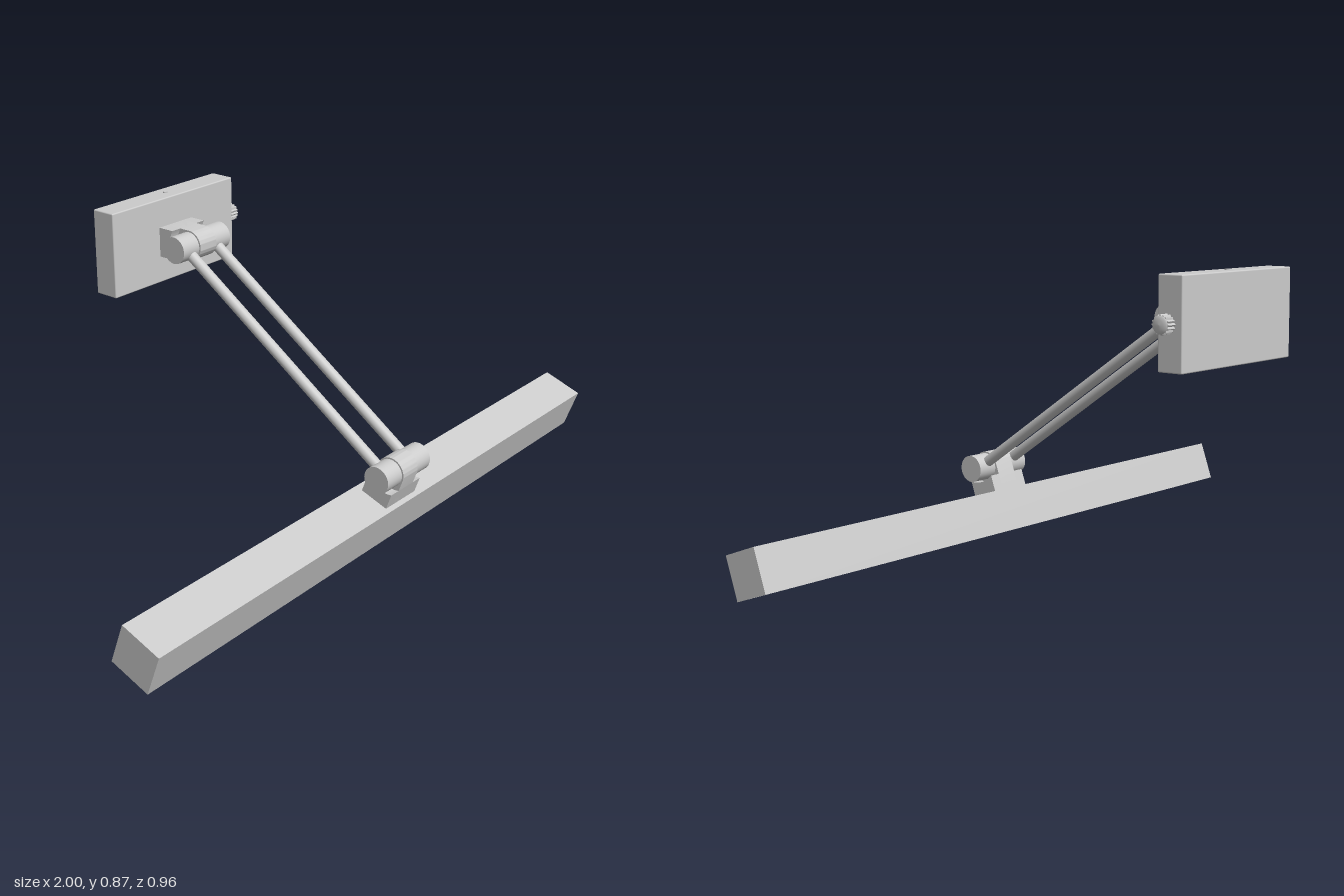
import * as THREE from 'three';
import { toCreasedNormals } from 'three/addons/utils/BufferGeometryUtils.js';
import { RoundedBoxGeometry } from 'three/addons/geometries/RoundedBoxGeometry.js';

const material = new THREE.MeshStandardMaterial({ color: 0xcccccc });

function add(parent, name, geometry, x = 0, y = 0, z = 0) {
  const mesh = new THREE.Mesh(geometry, material);
  mesh.name = name;
  mesh.position.set(x, y, z);
  parent.add(mesh);
  return mesh;
}

// Extrudes a (z, y) outline along x, centred on x = 0
function extrudeX(shape, width) {
  const g = new THREE.ExtrudeGeometry(shape, { depth: width, bevelEnabled: false, curveSegments: 24 });
  g.translate(0, 0, -width / 2).rotateY(-Math.PI / 2);
  return toCreasedNormals(g, 0.5);
}

function polygon(points) {
  return new THREE.Shape(points.map(([z, y]) => new THREE.Vector2(z, y)));
}

// Hinge with its pivot at the origin and its mounting foot towards -y
function createHinge(name) {
  const hinge = new THREE.Group();
  hinge.name = name;
  const r = 0.045, foot = -0.088;

  // Narrow tongue with a rounded end
  const tongue = polygon([[-r, foot], [r, foot], [r, 0]]);
  tongue.absarc(0, 0, r, 0, Math.PI, false);
  tongue.closePath();
  add(hinge, 'hingeTongue', extrudeX(tongue, 0.07), 0, 0, 0);

  // Wide foot, hollowed where the barrels turn
  const base = polygon([[-r, foot], [r, foot], [r, -0.036]]);
  base.quadraticCurveTo(0, -0.058, -r, -0.036);
  base.closePath();
  add(hinge, 'hingeFoot', extrudeX(base, 0.139));

  // Barrels either side of the tongue
  for (const s of [-1, 1]) {
    const barrel = new THREE.CylinderGeometry(0.041, 0.041, 0.066, 40).rotateZ(Math.PI / 2);
    add(hinge, 'hingeBarrel', barrel, s * 0.069);
  }
  return hinge;
}

// Square trough, open below, with thin end caps
function createShade() {
  const shade = new THREE.Group();
  shade.name = 'shade';
  const h = 0.064, t = 0.007, length = 2, cap = 0.008;
  const channel = polygon([[-h, -h], [-h + t, -h], [-h + t, h - t], [h - t, h - t],
    [h - t, -h], [h, -h], [h, h], [-h, h]]);
  add(shade, 'shadeChannel', extrudeX(channel, length - 2 * cap));
  for (const s of [-1, 1]) {
    add(shade, 'shadeEndCap', new THREE.BoxGeometry(cap, 2 * h, 2 * h), s * (length - cap) / 2);
  }
  return shade;
}

// Fluted switch knob on a short stem, pointing along +x
function createKnob() {
  const knob = new THREE.Group();
  knob.name = 'switchKnob';
  add(knob, 'knobStem', new THREE.CylinderGeometry(0.013, 0.013, 0.02, 24).rotateZ(-Math.PI / 2), 0.006);
  const outline = new THREE.Shape();
  const steps = 96;
  for (let i = 0; i < steps; i++) {
    const a = (i / steps) * Math.PI * 2;
    const r = 0.0255 + 0.002 * Math.cos(a * 16);
    if (i) outline.lineTo(r * Math.cos(a), r * Math.sin(a));
    else outline.moveTo(r, 0);
  }
  add(knob, 'knobGrip', extrudeX(outline, 0.03), 0.028);
  const dome = [[0.0245, 0], [0.021, 0.003], [0.012, 0.005], [0, 0.006]].map(([r, y]) => new THREE.Vector2(r, y));
  add(knob, 'knobDome', new THREE.LatheGeometry(dome, 32).rotateZ(-Math.PI / 2), 0.043);
  return knob;
}

export function createModel() {
  const lamp = new THREE.Group();
  lamp.name = 'wallLamp';
  const top = { y: 0.737, z: -0.315 };
  const low = { y: 0.226, z: 0.437 };
  const tilt = THREE.MathUtils.degToRad(19.5);

  // Wall plate with a small screw above and below
  add(lamp, 'wallPlate', new RoundedBoxGeometry(0.517, 0.258, 0.079, 2, 0.004), -0.001, 0.739, -0.4425);
  for (const y of [0.869, 0.609]) {
    add(lamp, 'plateScrew', new THREE.CylinderGeometry(0.007, 0.007, 0.006, 20), 0, y, -0.4425);
  }
  const knob = createKnob();
  knob.position.set(0.257, 0.74, -0.4425);
  lamp.add(knob);

  // Hinges
  const upperHinge = createHinge('upperHinge');
  upperHinge.position.set(0, top.y, top.z);
  upperHinge.rotation.x = Math.PI / 2;
  const lowerHinge = createHinge('lowerHinge');
  lowerHinge.position.set(0, low.y, low.z);
  lowerHinge.rotation.x = tilt;
  lamp.add(upperHinge, lowerHinge);

  // Twin arms between the hinges
  const dy = top.y - low.y, dz = top.z - low.z;
  for (const s of [-1, 1]) {
    const arm = add(lamp, 'arm', new THREE.CylinderGeometry(0.0165, 0.0165, Math.hypot(dy, dz), 28),
      s * 0.058, (top.y + low.y) / 2, (top.z + low.z) / 2);
    arm.rotation.x = Math.atan2(dz, dy);
  }

  // Tilted light shade
  const shade = createShade();
  shade.position.set(0, 0.085, 0.384);
  shade.rotation.x = tilt;
  lamp.add(shade);
  return lamp;
}
